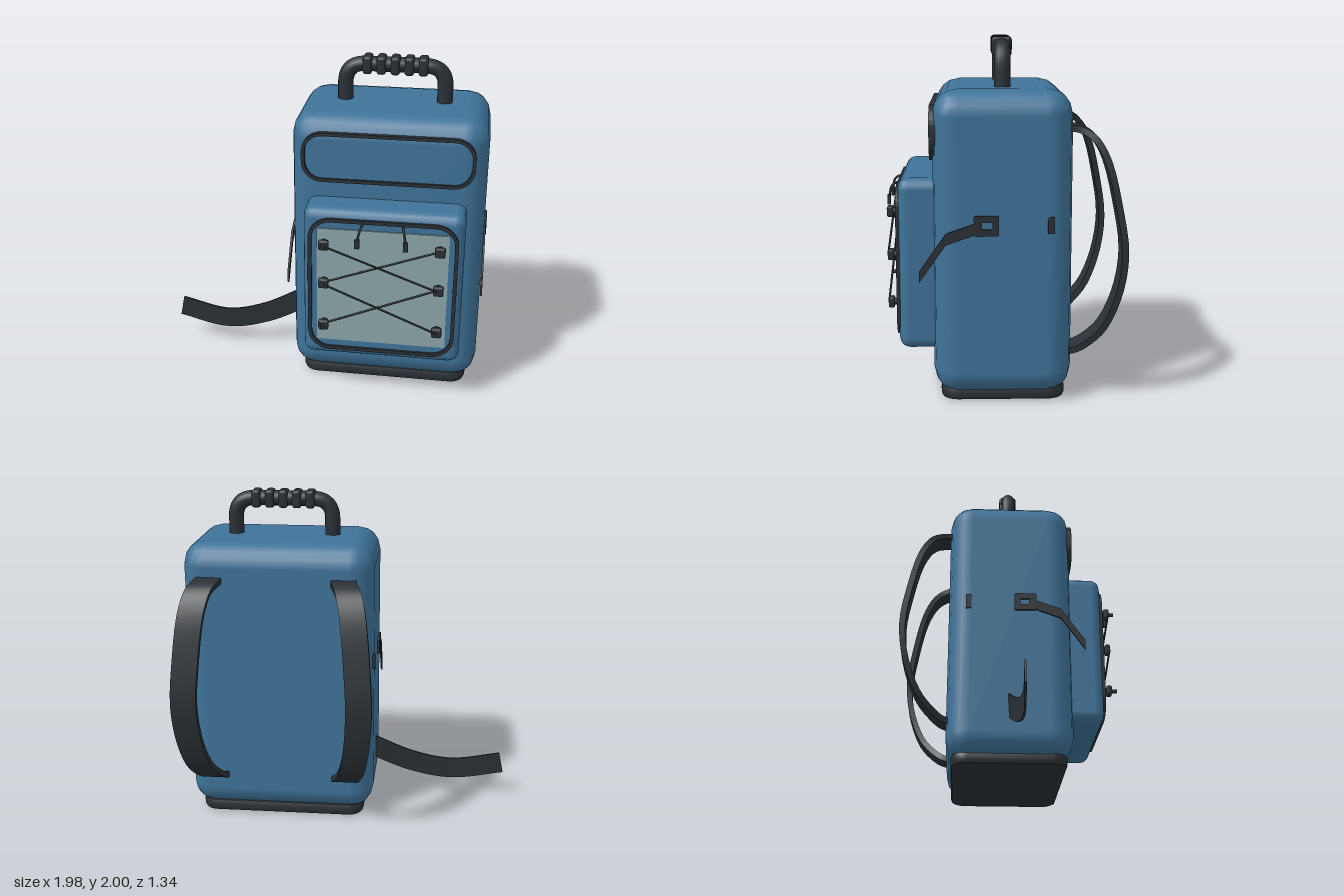
import * as THREE from 'three';
import { toCreasedNormals } from 'three/addons/utils/BufferGeometryUtils.js';
import { RoundedBoxGeometry } from 'three/addons/geometries/RoundedBoxGeometry.js';

const mat = (color) => new THREE.MeshStandardMaterial({ color });
const blue = mat(0x3f7399), dark = mat(0x2a3035), pale = mat(0x8aa5a8);
const V = (x, y, z) => new THREE.Vector3(x, y, z);
const MID = 0.4; // the bag's own centre line

export function createModel() {
  const model = new THREE.Group();

  const add = (name, geometry, material, x = 0, y = 0, z = 0) => {
    const mesh = new THREE.Mesh(geometry, material);
    mesh.name = name;
    mesh.position.set(x, y, z);
    model.add(mesh);
    return mesh;
  };

  // Rounded rectangle outline centred on the origin
  const roundRect = (w, h, r, Type = THREE.Shape) => {
    const s = new Type(), x = w / 2, y = h / 2;
    s.absarc(x - r, y - r, r, 0, Math.PI / 2);
    s.absarc(-x + r, y - r, r, Math.PI / 2, Math.PI);
    s.absarc(-x + r, -y + r, r, Math.PI, Math.PI * 1.5);
    s.absarc(x - r, -y + r, r, Math.PI * 1.5, Math.PI * 2);
    s.closePath();
    return s;
  };

  // Flat frame with a rounded hole, centred in depth
  const frame = (w, h, r, band, depth) => {
    const s = roundRect(w, h, r);
    s.holes.push(roundRect(w - 2 * band, h - 2 * band, Math.max(r - band, 0.005), THREE.Path));
    return new THREE.ExtrudeGeometry(s, { depth, bevelEnabled: false, curveSegments: 4 })
      .translate(0, 0, -depth / 2);
  };

  // Rectangular webbing swept along points; widthAt(tangent) gives the half-width vector
  const ribbon = (points, widthAt, thickness) => {
    const pos = [], idx = [], n = points.length;
    points.forEach((p, i) => {
      const t = points[Math.min(i + 1, n - 1)].clone().sub(points[Math.max(i - 1, 0)]).normalize();
      const w = widthAt(t);
      const up = t.clone().cross(w).setLength(thickness / 2);
      for (const [a, b] of [[1, 1], [-1, 1], [-1, -1], [1, -1]]) {
        pos.push(...p.clone().addScaledVector(w, a).addScaledVector(up, b).toArray());
      }
      if (i === n - 1) return;
      for (let k = 0; k < 4; k++) {
        const a = i * 4 + k, b = i * 4 + (k + 1) % 4;
        idx.push(a, b, b + 4, a, b + 4, a + 4);
      }
    });
    const e = (n - 1) * 4;
    idx.push(0, 3, 2, 0, 2, 1, e, e + 1, e + 2, e, e + 2, e + 3);
    const g = new THREE.BufferGeometry();
    g.setAttribute('position', new THREE.Float32BufferAttribute(pos, 3));
    g.setIndex(idx);
    return toCreasedNormals(g, 0.7);
  };

  const cord = (name, points, r) =>
    add(name, new THREE.TubeGeometry(new THREE.CatmullRomCurve3(points), 8, r, 6), dark);

  // Main bag, front pocket and base
  add('body', new RoundedBoxGeometry(1.14, 1.69, 0.76, 2, 0.14), blue, MID, 0.885, 0.008);
  add('frontPocket', new RoundedBoxGeometry(0.93, 0.96, 0.3, 2, 0.06), blue, MID, 0.765, 0.43);
  const base = new THREE.ExtrudeGeometry(roundRect(0.97, 0.64, 0.07), {
    depth: 0.03, bevelSize: 0.025, bevelThickness: 0.025, bevelSegments: 2, curveSegments: 4,
  }).rotateX(-Math.PI / 2);
  add('base', toCreasedNormals(base, 0.6), dark, MID, 0.025, 0.005);

  // Zip outlines and the pale panel
  add('upperZip', frame(1.0, 0.3, 0.12, 0.02, 0.045), dark, MID, 1.49, 0.381);
  add('pocketZip', frame(0.865, 0.86, 0.13, 0.022, 0.03), dark, MID, 0.765, 0.578);
  add('pocketPanel', new THREE.BoxGeometry(0.76, 0.73, 0.02), pale, MID, 0.765, 0.577);

  // Lacing studs and crossed elastic cords
  const rows = [1.045, 0.8, 0.525], cols = [0.065, 0.73];
  rows.forEach((y, r) => cols.forEach((x, c) => {
    add('studFoot', new THREE.CylinderGeometry(0.018, 0.022, 0.05, 8).rotateX(Math.PI / 2), dark, x, y, 0.6);
    add('stud', new RoundedBoxGeometry(0.06, 0.06, 0.035, 1, 0.01), dark, x, y, 0.627);
    if (c === 0 && r !== 1) {
      add('cordStop', new THREE.CylinderGeometry(0.013, 0.013, 0.04, 8).rotateX(Math.PI / 2), dark, x, y, 0.655);
    }
  }));
  for (let r = 0; r < 2; r++) {
    cord('lace', [V(cols[0], rows[r], 0.643), V(cols[1], rows[r + 1], 0.643)], 0.006);
    cord('lace', [V(cols[1], rows[r], 0.617), V(cols[0], rows[r + 1], 0.617)], 0.006);
  }

  // Zip pulls
  for (const [x0, x1] of [[0.29, 0.26], [0.51, 0.535]]) {
    cord('zipPullCord', [V(x0, 1.18, 0.58), V((x0 + x1) / 2, 1.155, 0.63), V(x1, 1.09, 0.648)], 0.007);
    add('zipPullTag', new THREE.BoxGeometry(0.028, 0.055, 0.018), dark, x1, 1.075, 0.648);
  }

  // Carry handle: straight legs, rounded corners, ribbed grip
  const handle = new THREE.CurvePath(), hx = 0.295, top = 1.944, r = 0.12, hz = 0.005;
  handle.add(new THREE.LineCurve3(V(-hx, 1.68, 0), V(-hx, top - r, 0)));
  handle.add(new THREE.QuadraticBezierCurve3(V(-hx, top - r, 0), V(-hx, top, 0), V(-hx + r, top, 0)));
  handle.add(new THREE.LineCurve3(V(-hx + r, top, 0), V(hx - r, top, 0)));
  handle.add(new THREE.QuadraticBezierCurve3(V(hx - r, top, 0), V(hx, top, 0), V(hx, top - r, 0)));
  handle.add(new THREE.LineCurve3(V(hx, top - r, 0), V(hx, 1.68, 0)));
  add('handle', new THREE.TubeGeometry(handle, 48, 0.046, 12), dark, MID, 0, hz);
  for (let i = -2; i <= 2; i++) {
    add('gripRib', new RoundedBoxGeometry(0.055, 0.108, 0.112, 2, 0.018), dark, MID + i * 0.082, top, hz);
  }

  // Shoulder straps, flaring outward as they leave the back
  const profile = [[-0.33, 1.52], [-0.4, 1.515], [-0.48, 1.475], [-0.55, 1.36], [-0.615, 1.1],
    [-0.65, 0.85], [-0.62, 0.62], [-0.54, 0.42], [-0.45, 0.32], [-0.4, 0.285], [-0.33, 0.265]];
  for (const side of [-1, 1]) {
    const pts = profile.map(([z, y]) => V(MID + side * (0.39 + 0.12 * Math.max(0, (-0.37 - z) / 0.28)), y, z));
    const curve = new THREE.CatmullRomCurve3(pts);
    add(side < 0 ? 'rightShoulderStrap' : 'leftShoulderStrap',
      ribbon(curve.getPoints(36), () => V(0.076, 0, 0), 0.036), dark);

    // Side buckle, its loose tail and the rear anchor
    const x = MID + side * 0.574;
    add('sideBuckle', frame(0.135, 0.11, 0.012, 0.036, 0.022).rotateY(Math.PI / 2), dark, x, 1.01, 0.097);
    add('sideStrap', ribbon([V(x, 1.0, 0.12), V(x, 0.99, 0.165), V(x, 0.937, 0.315), V(x, 0.73, 0.46)],
      () => V(0, 0.031, 0), 0.012), dark);
    add('sideAnchor', new THREE.BoxGeometry(0.02, 0.09, 0.035), dark, MID + side * 0.568, 1.01, -0.25);
  }

  // Loose waist webbing trailing from the right side
  const waist = new THREE.CatmullRomCurve3([V(-0.1, 0.37, -0.005), V(-0.17, 0.335, 0.002), V(-0.4, 0.23, 0.035),
    V(-0.66, 0.178, 0.055), V(-0.98, 0.235, 0.042)]);
  add('waistStrap', ribbon(waist.getPoints(24),
    (t) => t.clone().cross(V(0, 0, 1)).setLength(0.068), 0.012), dark);

  return model;
}
